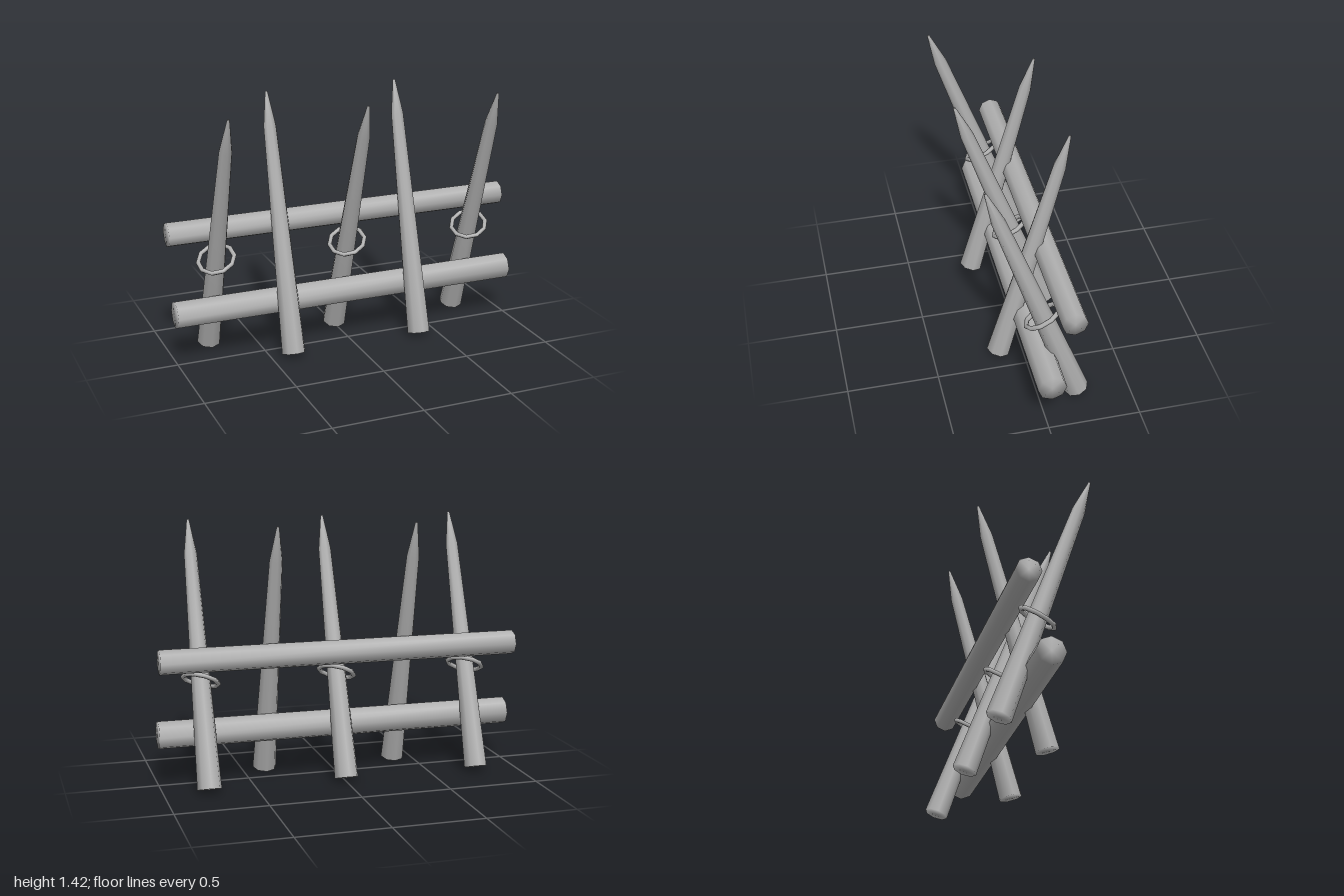
import * as THREE from 'three';
import { mergeVertices } from 'three/addons/utils/BufferGeometryUtils.js';

// Eight-sided turned pole along +y, with normals smoothed over its ends
function pole(profile) {
  const points = profile.map(([r, y]) => new THREE.Vector2(r, y));
  const geometry = new THREE.LatheGeometry(points, 8);
  geometry.deleteAttribute('normal');
  geometry.deleteAttribute('uv');
  const merged = mergeVertices(geometry, 1e-4);
  merged.computeVertexNormals();
  return merged;
}

export function createModel() {
  const model = new THREE.Group();
  model.name = 'spikedBarricade';
  const wood = new THREE.MeshStandardMaterial({ color: 0xb0b0b0 });
  wood.name = 'plain grey';

  const add = (name, geometry, x, y, z) => {
    const mesh = new THREE.Mesh(geometry, wood);
    mesh.name = name;
    mesh.position.set(x, y, z);
    model.add(mesh);
    return mesh;
  };

  // Sharpened stake from a base point, leaning by an angle about x
  const stakeGeometry = (length) => pole([
    [0, 0], [0.067, 0], [0.036, length - 0.19], [0.007, length], [0, length],
  ]);
  const forwardGeometry = stakeGeometry(1.473);
  const backwardGeometry = stakeGeometry(1.44);

  // Binding ring tilted around each forward-leaning stake
  const ringGeometry = new THREE.TorusGeometry(0.099, 0.013, 6, 10);
  const ringNormal = new THREE.Vector3(-0.37, 1, 0.5).normalize();
  const zAxis = new THREE.Vector3(0, 0, 1);

  for (const x of [-0.76, 0, 0.76]) {
    add('forwardStake', forwardGeometry, x, 0.024, -0.213).rotation.x = 0.34;
    add('bindingRing', ringGeometry, x, 0.577, -0.015)
      .quaternion.setFromUnitVectors(zAxis, ringNormal);
  }
  for (const x of [-0.38, 0.38]) {
    add('backwardStake', backwardGeometry, x, 0.025, 0.135).rotation.x = -0.263;
  }

  // Two horizontal rails
  const rail = (name, radius, y, z) => {
    const geometry = pole([[0, 0], [radius, 0], [radius, 2], [0, 2]]);
    add(name, geometry, -1, y, z).rotation.z = -Math.PI / 2;
  };
  rail('lowerRail', 0.077, 0.288, -0.015);
  rail('upperRail', 0.068, 0.71, -0.123);

  return model;
}
